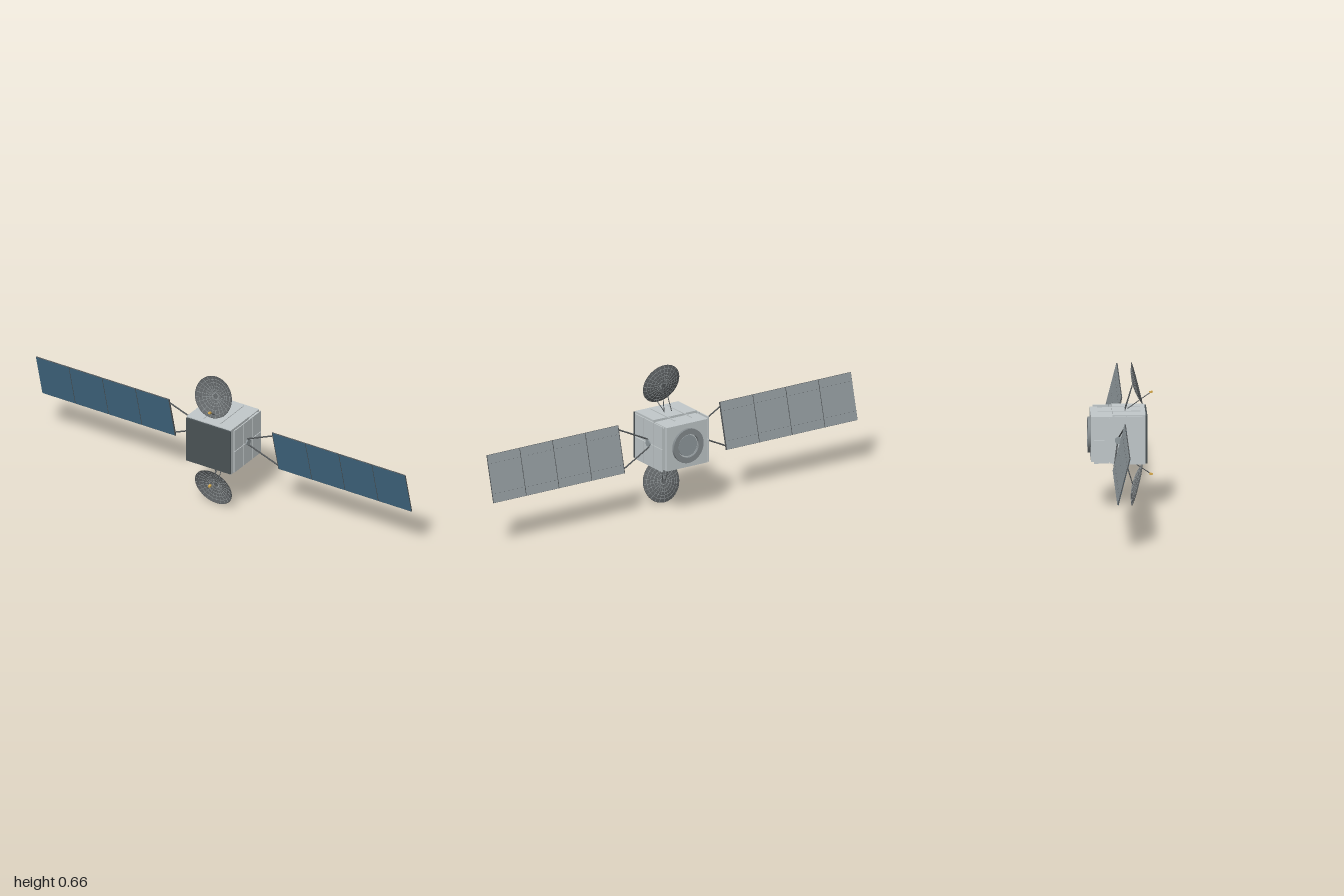
import * as THREE from 'three';

const mat = (name, color, side = THREE.FrontSide) => {
  const m = new THREE.MeshStandardMaterial({ color, side });
  m.name = name;
  return m;
};
const M = {
  body: mat('body grey', 0xc2c9cb),
  ring: mat('ring grey', 0x868d90, THREE.DoubleSide),
  front: mat('front dark grey', 0x4a5255),
  cell: mat('solar blue', 0x436c86),
  back: mat('panel back grey', 0x929b9f),
  strut: mat('strut dark grey', 0x54585a),
  dish: mat('dish grey', 0x626668, THREE.DoubleSide),
  rib: mat('rib light grey', 0x999fa1),
  gold: mat('feed gold', 0xd8ab4e),
};
const MID = 0.331; // height of the body centre

function add(parent, name, geo, material, x = 0, y = 0, z = 0) {
  const mesh = new THREE.Mesh(geo, material);
  mesh.name = name;
  mesh.position.set(x, y, z);
  parent.add(mesh);
  return mesh;
}
const box = (p, name, m, w, h, d, x, y, z) => add(p, name, new THREE.BoxGeometry(w, h, d), m, x, y, z);

// Round bar between two points
function bar(p, name, a, b, r, m = M.strut) {
  const A = new THREE.Vector3(...a), B = new THREE.Vector3(...b);
  const mesh = add(p, name, new THREE.CylinderGeometry(r, r, A.distanceTo(B), 8), m);
  mesh.position.copy(A).lerp(B, 0.5);
  mesh.quaternion.setFromUnitVectors(new THREE.Vector3(0, 1, 0), B.sub(A).normalize());
}

function makeBody() {
  const g = new THREE.Group();
  g.name = 'body';
  g.position.y = MID;
  box(g, 'frontSection', M.body, 0.238, 0.231, 0.15, 0, 0, 0.0375);
  box(g, 'rearSection', M.body, 0.222, 0.21, 0.1, 0, 0, -0.086);
  box(g, 'frontPlate', M.front, 0.24, 0.222, 0.008, 0, 0, 0.1165);

  // Dark underside
  box(g, 'frontUnderside', M.front, 0.234, 0.001, 0.146, 0, -0.1158, 0.0375);
  box(g, 'rearUnderside', M.front, 0.218, 0.001, 0.096, 0, -0.1052, -0.086);

  // Side cladding: three columns by two rows, with gaps between
  const cols = [[0.098, 0.0265], [0.0235, -0.0495], [-0.0525, -0.123]];
  for (const s of [-1, 1]) {
    for (const [a, b] of cols)
      for (const r of [-1, 1])
        box(g, 'sidePlate', M.body, 0.005, 0.107, a - b, s * 0.1265, r * 0.0552, (a + b) / 2);
    box(g, 'sideBacking', M.body, 0.015, 0.2, 0.21, s * 0.1165, 0, -0.013);
    // Rails along top and bottom
    for (const x of [-0.045, 0.045]) box(g, 'rail', M.body, 0.005, 0.003, 0.195, x, s * 0.1175, -0.007);
  }

  // Rear ring around a recessed disc
  const ring = [[0.056, 0], [0.056, 0.013], [0.082, 0.013], [0.082, 0]];
  // Doubled corner points keep the edges sharp
  const profile = ring.flatMap(([r, y]) => [new THREE.Vector2(r, y), new THREE.Vector2(r, y + 1e-5)]);
  add(g, 'rearRing', new THREE.LatheGeometry(profile, 40), M.ring, 0, 0, -0.1355).rotation.x = -Math.PI / 2;
  add(g, 'rearDisc', new THREE.CylinderGeometry(0.05, 0.05, 0.008, 40), M.back, 0, 0, -0.138).rotation.x = Math.PI / 2;
  return g;
}

function makeWing(s) {
  const g = new THREE.Group();
  g.name = s > 0 ? 'leftWing' : 'rightWing';
  g.position.set(0, MID, -0.0125);
  g.rotation.x = 0.25;
  const H = 0.222, W = 0.1785;
  for (let i = 0; i < 4; i++) {
    const x = s * (0.37 + i * 0.18);
    box(g, 'panelFrame', M.strut, W, H, 0.005, x, 0, 0);
    box(g, 'solarCells', M.cell, W - 0.002, H - 0.003, 0.001, x, 0, 0.0027);
    box(g, 'panelBack', M.back, W - 0.002, H - 0.002, 0.001, x, 0, -0.0027);
    // Rows of small fittings on the back
    for (const y of [-0.07, 0.07])
      for (let k = -3; k <= 3; k++) box(g, 'backFitting', M.strut, 0.005, 0.002, 0.001, x + k * 0.024, y, -0.0034);
    // Hinges to the next panel
    if (i < 3) for (const y of [-0.08, 0, 0.08])
      box(g, 'hinge', M.strut, 0.004, 0.012, 0.006, x + s * 0.09, y, -0.0005);
  }
  // Yoke from the hub to the inner panel corners
  for (const t of [-1, 1]) bar(g, 'yokeArm', [s * 0.125, t * 0.016, 0], [s * 0.282, t * 0.092, 0], 0.0035);
  box(g, 'yokeEnd', M.strut, 0.004, H, 0.006, s * 0.28, 0, 0);
  add(g, 'hub', new THREE.CylinderGeometry(0.016, 0.016, 0.018, 20), M.back, s * 0.126, 0, 0).rotation.z = Math.PI / 2;
  return g;
}

function makeAntenna(s) {
  const g = new THREE.Group();
  g.name = s > 0 ? 'topAntenna' : 'bottomAntenna';
  g.position.y = MID;

  // Shallow reflector with radial and circular ribs
  const R = 0.0975, D = 0.02;
  const depth = r => D * ((r / R) ** 2 - 1);
  const dish = new THREE.Group();
  dish.name = 'reflector';
  dish.position.set(0, s * 0.236, 0.076);
  dish.rotation.x = Math.PI / 2 - s * 0.258;
  const profile = [];
  for (let i = 0; i <= 8; i++) profile.push(new THREE.Vector2(R * i / 8, depth(R * i / 8)));
  add(dish, 'shell', new THREE.LatheGeometry(profile, 36), M.dish);
  for (let i = 0; i < 24; i++) {
    const a = i * Math.PI / 12;
    const pts = [0.012, 0.04, 0.07, R].map(r => new THREE.Vector3(r * Math.cos(a), depth(r), r * Math.sin(a)));
    add(dish, 'radialRib', new THREE.TubeGeometry(new THREE.CatmullRomCurve3(pts), 6, 0.0011, 4), M.rib);
  }
  for (let i = 1; i <= 6; i++) {
    const r = R * i / 6;
    add(dish, 'ringRib', new THREE.TorusGeometry(r, 0.0012, 4, 40), i < 6 ? M.rib : M.strut, 0, depth(r), 0).rotation.x = Math.PI / 2;
  }
  g.add(dish);

  // Supports and feed
  for (const x of [-1, 1]) bar(g, 'dishStrut', [x * 0.02, s * 0.115, 0.021], [x * 0.008, s * 0.231, 0.056], 0.002);
  bar(g, 'feedArm', [0.012, s * 0.114, 0.03], [0.022, s * 0.186, 0.134], 0.002);
  const feed = box(g, 'feed', M.gold, 0.01, 0.008, 0.016, 0.022, s * 0.191, 0.141);
  feed.rotation.x = -s * 0.2;
  return g;
}

export function createModel() {
  const model = new THREE.Group();
  model.name = 'satellite';
  model.add(makeBody());
  for (const s of [1, -1]) model.add(makeWing(s), makeAntenna(s));
  return model;
}
